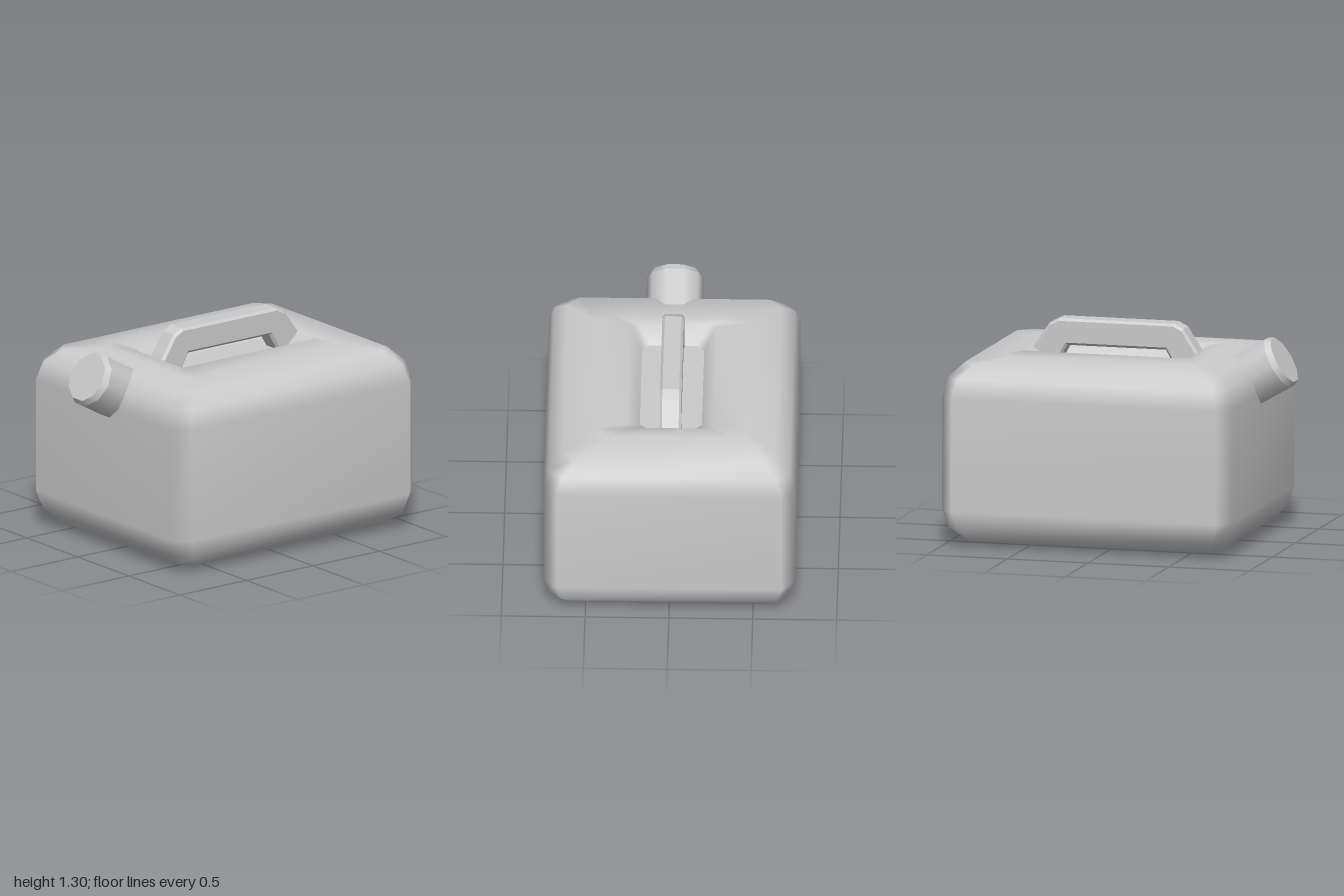
import * as THREE from 'three';

const material = new THREE.MeshStandardMaterial({ color: 0xcccccc });

// Rectangle with chamfered corners, counter-clockwise from above, centred on z = -0.1
function ring(hx, hz, y, c) {
  return [
    [hx, hz - c], [hx, c - hz], [hx - c, -hz], [c - hx, -hz],
    [-hx, c - hz], [-hx, hz - c], [c - hx, hz], [hx - c, hz],
  ].map(([x, z]) => [x, y, z - 0.1]);
}

// Skin consecutive rings, optionally closing the first and last with a fan
function skin(rings, capStart, capEnd) {
  const pos = rings.flat(2), index = [], n = 8;
  for (let i = 0; i < rings.length - 1; i++) {
    for (let j = 0; j < n; j++) {
      const a = i * n + j, b = i * n + (j + 1) % n;
      index.push(a, b, b + n, a, b + n, a + n);
    }
  }
  const fan = (i, flip) => {
    const centre = pos.length / 3;
    pos.push(0, rings[i][0][1], -0.1);
    for (let j = 0; j < n; j++) {
      const a = i * n + j, b = i * n + (j + 1) % n;
      index.push(centre, flip ? b : a, flip ? a : b);
    }
  };
  if (capStart) fan(0, true);
  if (capEnd) fan(rings.length - 1, false);
  const g = new THREE.BufferGeometry();
  g.setAttribute('position', new THREE.Float32BufferAttribute(pos, 3));
  g.setIndex(index);
  g.computeVertexNormals();
  return g;
}

export function createModel() {
  const group = new THREE.Group();
  const add = (name, geometry) => {
    const mesh = new THREE.Mesh(geometry, material);
    mesh.name = name;
    group.add(mesh);
    return mesh;
  };

  // Canister body: [inset, height] from the base up, then down into the handle recess
  const profile = [
    [0.27, 0], [0.11, 0.03], [0.03, 0.11], [0, 0.22],
    [0, 0.91], [0.03, 1.02], [0.11, 1.1], [0.3, 1.13],
  ];
  const rings = profile.map(([d, y]) => ring(0.75 - d, 0.9 - d, y, 0.08));
  const floorRing = ring(0.185, 0.41, 1.04, 0.05);
  rings.push(ring(0.255, 0.51, 1.13, 0.03), floorRing);
  add('body', skin(rings, true, false));
  add('recessFloor', skin([floorRing], false, true));

  // Carrying handle: side outline (z, y) extruded across x with chamfered edges
  const outline = [
    [0.41, 1.0], [0.41, 1.13], [0.32, 1.27], [0.26, 1.3],
    [-0.45, 1.3], [-0.51, 1.27], [-0.61, 1.13], [-0.61, 1.0],
    [-0.48, 1.0], [-0.4, 1.14], [0.21, 1.14], [0.29, 1.0],
  ].map(([z, y]) => new THREE.Vector2(z, y));
  const handle = new THREE.ExtrudeGeometry(new THREE.Shape(outline), {
    depth: 0.1, bevelEnabled: true, bevelSegments: 1,
    bevelSize: 0.015, bevelThickness: 0.015, bevelOffset: -0.015,
  });
  handle.translate(0, 0, -0.05).rotateY(-Math.PI / 2);
  add('handle', handle);

  // Ten-sided spout with a bevelled cap, tilted 30 degrees above the front
  const spout = new THREE.Group();
  spout.name = 'spout';
  const addSpout = (name, geometry) => {
    const mesh = new THREE.Mesh(geometry, material);
    mesh.name = name;
    spout.add(mesh);
  };
  const neck = new THREE.CylinderGeometry(0.17, 0.17, 0.36, 10, 1, true);
  neck.rotateY(Math.PI / 10).translate(0, -0.215, 0);
  addSpout('spoutNeck', neck);
  const cap = new THREE.CylinderGeometry(0.15, 0.17, 0.035, 10);
  cap.rotateY(Math.PI / 10).translate(0, -0.0175, 0);
  addSpout('spoutCap', cap);
  spout.position.set(0, 1.105, 0.93);
  spout.rotation.x = Math.PI / 3;
  group.add(spout);

  return group;
}
